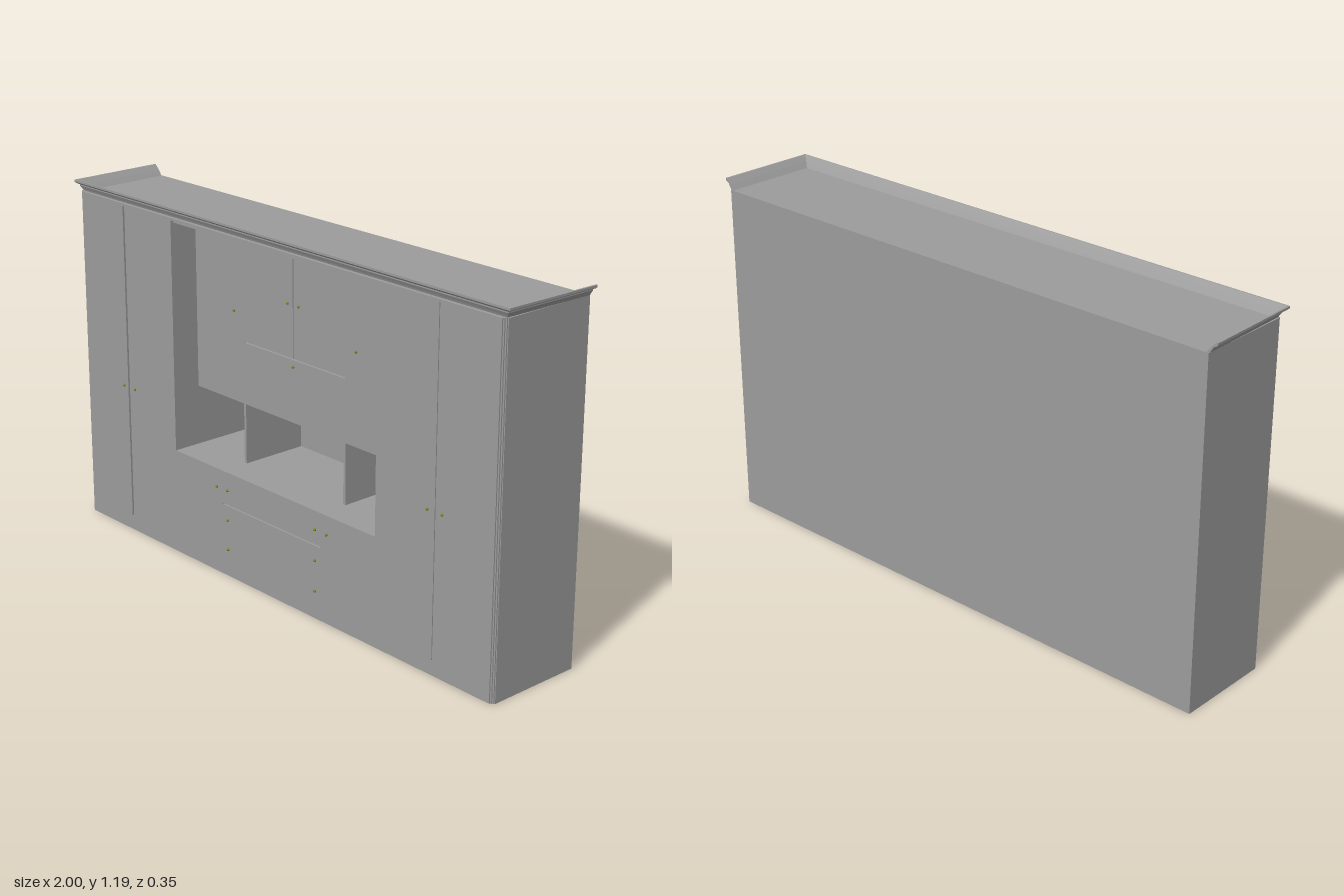
import * as THREE from 'three';

const BACK = -0.175, CARCASS = 0.155, FRONT = 0.167, RECESS = 0.068;
const W = 0.973, H = 1.158, T = 0.018;

export function createModel() {
  const root = new THREE.Group();
  const grey = new THREE.MeshStandardMaterial({ color: 0x9c9c9c, flatShading: true });
  const thin = grey.clone();
  thin.side = THREE.DoubleSide;
  const brass = new THREE.MeshStandardMaterial({ color: 0x808000 });

  // Box given by its two opposite corners
  function slab(name, x0, x1, y0, y1, z0, z1) {
    const m = new THREE.Mesh(new THREE.BoxGeometry(x1 - x0, y1 - y0, z1 - z0), grey);
    m.position.set((x0 + x1) / 2, (y0 + y1) / 2, (z0 + z1) / 2);
    m.name = name;
    root.add(m);
  }
  // Same slab on both sides of the middle
  function pair(name, x0, x1, ...rest) {
    slab(name + 'Left', x0, x1, ...rest);
    slab(name + 'Right', -x1, -x0, ...rest);
  }

  // Carcass
  slab('backPanel', -W, W, 0, H, BACK, BACK + 0.006);
  slab('topPanel', -W, W, H - T, H, BACK, CARCASS);
  slab('bottomPanel', -W, W, 0.022, 0.04, BACK, CARCASS);
  slab('topRail', -0.96, 0.96, 1.15, H, CARCASS, FRONT);
  pair('sidePanel', W - T, W, 0, H, BACK, CARCASS);
  pair('towerPanel', 0.479, 0.491, 0, H, BACK, CARCASS);

  // Stepped moulding down each front corner
  pair('cornerBead', 0.96, 0.965, 0, H, CARCASS, 0.163);
  pair('cornerStrip', 0.965, 0.97, 0, H, CARCASS, 0.159);

  // Open niche and the recessed upper cabinet
  slab('nicheFloor', -0.479, 0.479, 0.353, 0.365, BACK, FRONT);
  pair('nicheDivider', 0.232, 0.242, 0.365, 0.57, BACK, RECESS);
  slab('upperCabinetBottom', -0.479, 0.479, 0.57, 0.584, BACK, RECESS - 0.012);
  pair('upperCabinetDivider', 0.232, 0.242, 0.57, 1.15, BACK, RECESS - 0.012);

  // Base front: drawers and doors closing flush with the plinth
  slab('plinth', -0.96, 0.96, 0, 0.05, CARCASS - 0.008, FRONT);
  pair('baseDoor', 0.238, 0.479, 0.05, 0.353, CARCASS, FRONT);
  [[0.05, 0.148], [0.148, 0.248], [0.252, 0.353]].forEach(([y0, y1], i) =>
    slab('drawerFront' + (i + 1), -0.238, 0.238, y0, y1, CARCASS, FRONT));

  // Tower doors, the right seam being the wider one
  pair('towerInnerDoor', 0.479, 0.725, 0.05, 1.15, CARCASS, FRONT);
  slab('towerOuterDoorLeft', 0.728, 0.96, 0.05, 1.15, CARCASS, FRONT);
  slab('towerOuterDoorRight', -0.96, -0.734, 0.05, 1.15, CARCASS, FRONT);

  // Upper cabinet doors and flap
  pair('upperSideDoor', 0.237, 0.477, 0.57, 1.147, RECESS - 0.012, RECESS);
  pair('upperMiddleDoor', 0.002, 0.237, 0.782, 1.147, RECESS - 0.012, RECESS);
  slab('upperFlap', -0.237, 0.237, 0.57, 0.778, RECESS - 0.012, RECESS);

  // Knobs
  const knobGeo = new THREE.SphereGeometry(0.0048, 12, 8);
  function knob(x, y, z) {
    const m = new THREE.Mesh(knobGeo, brass);
    m.position.set(x, y, z + 0.001);
    m.name = 'knob';
    root.add(m);
  }
  for (const s of [-1, 1]) {
    for (const [x, y] of [[0.755, 0.523], [0.695, 0.523], [0.265, 0.302],
      [0.212, 0.302], [0.212, 0.198], [0.212, 0.094]]) knob(s * x, y, FRONT);
    knob(s * 0.285, 0.875, RECESS);
    knob(s * 0.026, 0.957, RECESS);
  }
  knob(0, 0.755, RECESS);

  // Cornice: [outward, height] profile swept round three sides with mitred corners
  const profile = [[-0.012, 1.158], [0, 1.158], [0.003, 1.164], [0.01, 1.174],
    [0.01, 1.178], [0.02, 1.182], [0.025, 1.186], [0.025, 1.193], [0.019, 1.193],
    [0.003, 1.176]];
  const n = profile.length;
  // The side runs open out slightly towards the back
  const stations = [
    ([o, y]) => [-W - o - 0.002, y, BACK + 0.003],
    ([o, y]) => [-W - o + 0.006, y, CARCASS + o * 0.75],
    ([o, y]) => [W + o - 0.006, y, CARCASS + o * 0.75],
    ([o, y]) => [W + o + 0.002, y, BACK + 0.003],
  ];
  const pos = [], index = [];
  stations.forEach(f => profile.forEach(p => pos.push(...f(p))));
  for (let s = 0; s < stations.length - 1; s++) {
    for (let i = 0; i < n; i++) {
      const a = s * n + i, b = s * n + (i + 1) % n;
      index.push(a, a + n, b, b, a + n, b + n);
    }
  }
  // End caps
  const caps = THREE.ShapeUtils.triangulateShape(profile.map(p => new THREE.Vector2(...p)), []);
  const last = (stations.length - 1) * n;
  for (const [a, b, c] of caps) index.push(a, b, c, last + a, last + c, last + b);
  const geo = new THREE.BufferGeometry();
  geo.setAttribute('position', new THREE.Float32BufferAttribute(pos, 3));
  geo.setIndex(index);
  geo.computeVertexNormals();
  const cornice = new THREE.Mesh(geo, thin);
  cornice.name = 'cornice';
  root.add(cornice);

  return root;
}
